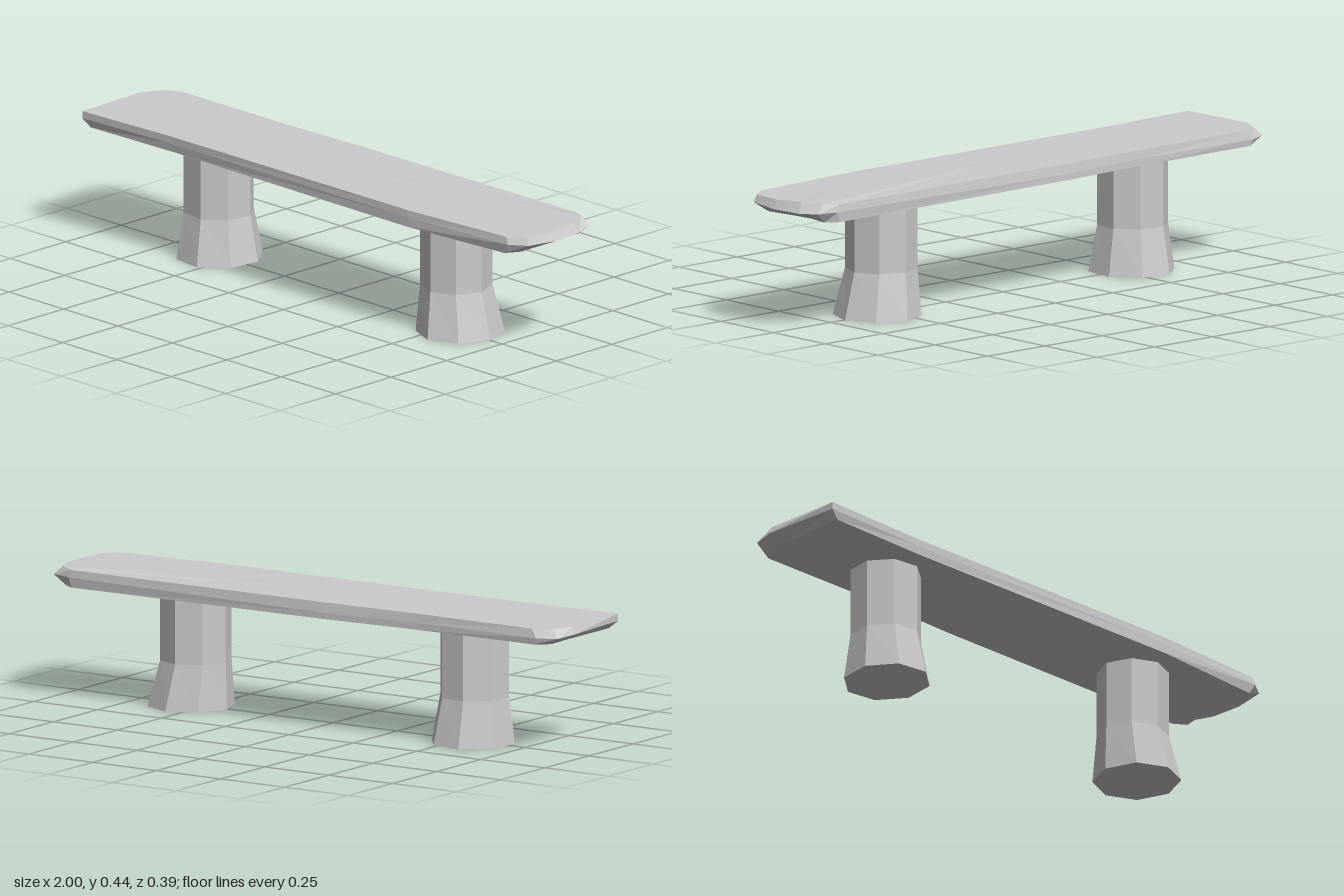
import * as THREE from 'three';

const material = new THREE.MeshStandardMaterial({ color: 0xcccccc, flatShading: true });

// Rough plank: an irregular outline lofted through bottom, middle and top rings
function createSeat() {
  // x, z, middle height, top inset, bottom inset (counterclockwise from above)
  const outline = [
    [-0.98, 0.195, 0.41, 0.0, 0.03],
    [-0.6, 0.178, 0.41, 0.0, 0.01],
    [0.5, 0.178, 0.41, 0.005, 0.0],
    [0.93, 0.15, 0.41, 0.01, 0.02],
    [0.985, 0.11, 0.41, 0.01, 0.05],
    [0.998, 0.0, 0.405, 0.015, 0.075],
    [0.99, -0.11, 0.405, 0.02, 0.075],
    [0.97, -0.18, 0.41, 0.03, 0.04],
    [0.9, -0.198, 0.41, 0.01, 0.01],
    [-0.1, -0.192, 0.4, 0.015, 0.0],
    [-0.45, -0.18, 0.405, 0.01, 0.0],
    [-0.92, -0.184, 0.405, 0.02, 0.01],
    [-0.985, -0.155, 0.405, 0.03, 0.03],
    [-1.0, -0.08, 0.41, 0.01, 0.05],
  ];
  const n = outline.length;
  const inset = (x, z, d, y) => [x - Math.sign(x) * d, y, z - Math.sign(z) * d * 0.3];
  const rings = [
    outline.map(([x, z, , , b]) => inset(x, z, b, 0.38 - 0.004 * x)),
    outline.map(([x, z, m]) => [x, m, z]),
    outline.map(([x, z, , t]) => inset(x, z, t, x > 0.95 && z < -0.1 ? 0.439 : 0.434)),
  ];
  const points = [...rings.flat(), [0, 0.378, 0], [0, 0.435, 0]];
  const bottom = 3 * n, top = 3 * n + 1;
  const index = [];
  for (let i = 0; i < n; i++) {
    const j = (i + 1) % n;
    for (let r = 0; r < 2; r++) {
      const a = r * n + i, b = r * n + j;
      index.push(a, b, b + n, a, b + n, a + n);
    }
    index.push(bottom, j, i, top, 2 * n + i, 2 * n + j);
  }
  const geometry = new THREE.BufferGeometry();
  geometry.setAttribute('position', new THREE.Float32BufferAttribute(points.flat(), 3));
  geometry.setIndex(index);
  const flat = geometry.toNonIndexed();
  flat.computeVertexNormals();
  const seat = new THREE.Mesh(flat, material);
  seat.name = 'seat';
  return seat;
}

// Eight-sided post with a flared foot, the foot slightly off the post's axis
function createLeg(name, x, footShift, turn) {
  const profile = [[0, 0], [0.147, 0], [0.117, 0.152], [0.117, 0.39], [0, 0.39]]
    .map(([r, y]) => new THREE.Vector2(r, y));
  const geometry = new THREE.LatheGeometry(profile, 8);
  geometry.rotateY(turn);
  const p = geometry.attributes.position;
  for (let i = 0; i < p.count; i++) {
    if (p.getY(i) < 0.01) p.setX(i, p.getX(i) * 0.95 + footShift);
  }
  geometry.computeVertexNormals();
  const leg = new THREE.Mesh(geometry, material);
  leg.name = name;
  leg.position.set(x, 0, -0.005);
  return leg;
}

export function createModel() {
  const bench = new THREE.Group();
  bench.name = 'bench';
  bench.add(
    createSeat(),
    createLeg('leftLeg', 0.535, 0.018, 0),
    createLeg('rightLeg', -0.557, 0.005, THREE.MathUtils.degToRad(16)),
  );
  return bench;
}
